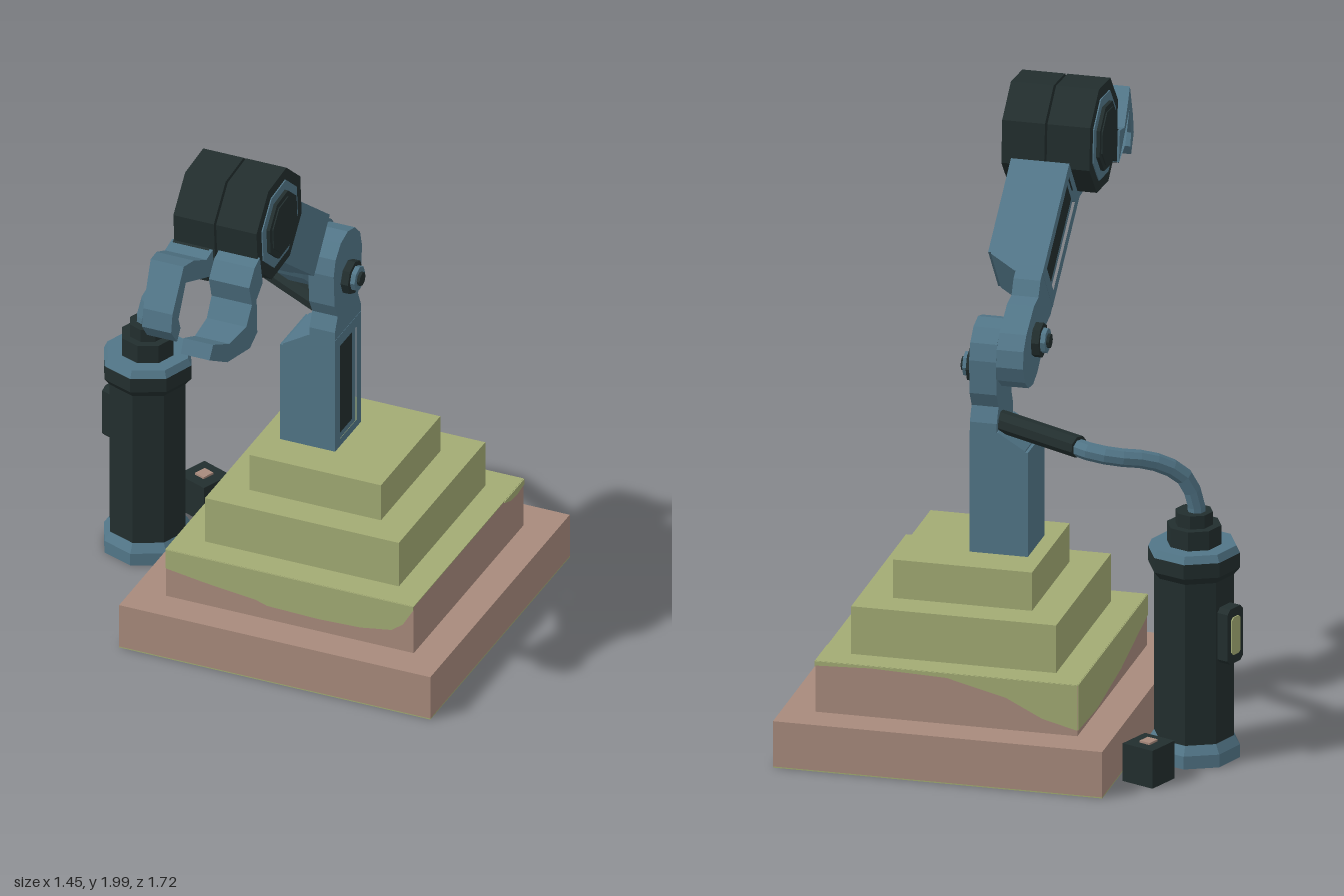
import * as THREE from 'three';

const paint = (name, color) => {
  const m = new THREE.MeshStandardMaterial({ color });
  m.name = name;
  return m;
};

export function createModel() {
  const model = new THREE.Group();
  model.name = 'robotArmOnSteppedBase';
  const steel = paint('steelBlue', 0x527688);
  const dark = paint('darkMetal', 0x222e2e);
  const clay = paint('clay', 0xa88a7c);
  const moss = paint('moss', 0xa2ab74);

  // Faceted mesh added to a parent
  function add(parent, name, geo, mat) {
    const g = geo.index ? geo.toNonIndexed() : geo;
    g.computeVertexNormals();
    const mesh = new THREE.Mesh(g, mat);
    mesh.name = name;
    parent.add(mesh);
    return mesh;
  }
  const box = (x0, x1, y0, y1, z0, z1) =>
    new THREE.BoxGeometry(x1 - x0, y1 - y0, z1 - z0).translate((x0 + x1) / 2, (y0 + y1) / 2, (z0 + z1) / 2);
  const vecs = (pts, s = 1) => pts.map(([a, b]) => new THREE.Vector2(s * a, b));
  // Side profile of [z, y] points, extruded from x0 to x1
  function extrudeX(pts, x0, x1, hole) {
    const shape = new THREE.Shape(vecs(pts, -1));
    if (hole) shape.holes.push(new THREE.Path(vecs(hole, -1)));
    return new THREE.ExtrudeGeometry(shape, { depth: x1 - x0, bevelEnabled: false })
      .rotateY(Math.PI / 2).translate(x0, 0, 0);
  }
  const rect = (w, y0, y1) => [[-w, y0], [w, y0], [w, y1], [-w, y1]];
  // Eight-sided disc with its axis along x
  const discX = (r, x0, x1, y, z, turn = 0) =>
    new THREE.CylinderGeometry(r, r, Math.abs(x1 - x0), 8, 1, false, turn)
      .rotateZ(-Math.PI / 2).translate((x0 + x1) / 2, y, z);

  // Stepped base
  const base = new THREE.Group();
  base.name = 'steppedBase';
  model.add(base);
  add(base, 'underside', box(-0.38, 0.72, 0, 0.004, -0.86, 0.245), moss);
  add(base, 'bottomStep', box(-0.38, 0.72, 0.004, 0.16, -0.86, 0.245), clay);
  add(base, 'secondStep', box(-0.265, 0.61, 0.16, 0.333, -0.74, 0.13), clay);
  add(base, 'secondStepTop', box(-0.265, 0.61, 0.333, 0.336, -0.74, 0.13), moss);
  add(base, 'thirdStep', box(-0.17, 0.515, 0.336, 0.5, -0.65, 0.035), moss);
  add(base, 'topStep', box(-0.06, 0.405, 0.5, 0.632, -0.54, -0.07), moss);

  // Wavy moss growing down the second step; edge points run left to right on each side
  function mossSide(name, edge, angle, x, z) {
    const first = edge[0][0], last = edge[edge.length - 1][0];
    const shape = new THREE.Shape(vecs([...edge, [last, 0.335], [first, 0.335]]));
    const mesh = add(base, name, new THREE.ExtrudeGeometry(shape, { depth: 0.003, bevelEnabled: false }), moss);
    mesh.rotation.y = angle;
    mesh.position.set(x, 0, z);
  }
  mossSide('frontMoss', [[-0.437, 0.265], [-0.3, 0.245], [-0.12, 0.225], [-0.08, 0.212], [0.1, 0.207],
    [0.25, 0.212], [0.36, 0.23], [0.4, 0.26], [0.437, 0.322]], 0, 0.1725, 0.13);
  mossSide('leftMoss', [[0.28, 0.33], [0.33, 0.312], [0.38, 0.308], [0.435, 0.316]], Math.PI / 2, 0.61, -0.305);
  mossSide('backMoss', [[-0.437, 0.32], [-0.25, 0.328], [0, 0.32], [0.2, 0.27], [0.32, 0.21], [0.437, 0.18]],
    Math.PI, 0.1725, -0.74);
  mossSide('rightMoss', [[-0.435, 0.18], [-0.2, 0.17], [0.1, 0.2], [0.3, 0.24], [0.435, 0.265]],
    -Math.PI / 2, -0.265, -0.305);

  // Arm link: offset body, recessed side panels, tongue with rounded head, and bolt
  function link(name) {
    const g = new THREE.Group();
    g.name = name;
    const body = new THREE.Shape(vecs([[0, 0], [0.165, 0], [0.165, 0.42], [0.09, 0.42], [0, 0.365]]));
    add(g, 'body', new THREE.ExtrudeGeometry(body, { depth: 0.205, bevelEnabled: false })
      .translate(0, 0, -0.1025), steel);
    add(g, 'deepFrame', extrudeX(rect(0.1025, 0, 0.42), 0.165, 0.185, rect(0.066, 0.03, 0.38)), steel);
    add(g, 'darkPanel', extrudeX(rect(0.066, 0.03, 0.38), 0.164, 0.17), dark);
    add(g, 'shallowFrame', extrudeX(rect(0.1025, 0, 0.36), -0.01, 0, rect(0.07, 0.03, 0.33)), steel);
    const half = [[0.1025, 0.42], [0.1025, 0.45], [0.08, 0.5], [0.105, 0.55]];
    const arc = [];
    for (let i = 0; i <= 6; i++) {
      const a = i * Math.PI / 6;
      arc.push([0.112 * Math.cos(a), 0.665 + 0.112 * Math.sin(a)]);
    }
    const profile = [...half, ...arc, ...half.map(([z, y]) => [-z, y]).reverse()];
    add(g, 'tongue', extrudeX(profile, 0.094, 0.184), steel);
    add(g, 'boltCollar', discX(0.058, 0.18, 0.21, 0.61, 0), dark);
    add(g, 'boltHead', discX(0.042, 0.2, 0.226, 0.61, 0), steel);
    add(g, 'boltTip', discX(0.024, 0.22, 0.236, 0.61, 0), dark);
    model.add(g);
    return g;
  }
  const post = link('post');
  post.position.set(0, 0.63, -0.303);
  // Upper arm is the same link turned over and hung from the post's head
  const upperArm = link('upperArm');
  const down = new THREE.Vector3(0, -0.61, -0.79).normalize();
  const flip = new THREE.Vector3(-1, 0, 0);
  upperArm.quaternion.setFromRotationMatrix(
    new THREE.Matrix4().makeBasis(flip, down, flip.clone().cross(down)));
  upperArm.position.set(0.185, 1.705, 0.212);

  // Wrist drum in two halves with ringed end caps
  const wrist = new THREE.Group();
  wrist.name = 'wristDrum';
  model.add(wrist);
  const cy = 1.815, cz = 0.355, turn = 0.47;
  for (const s of [-1, 1]) {
    const at = (r, a, b) => discX(r, 0.0875 + s * a, 0.0875 + s * b, cy, cz, turn);
    add(wrist, 'drumHalf', at(0.188, 0.004, 0.147), dark);
    add(wrist, 'drumRing', at(0.148, 0.145, 0.151), steel);
    add(wrist, 'drumCap', at(0.115, 0.147, 0.163), dark);
    add(wrist, 'drumHub', at(0.095, 0.16, 0.167), dark);
  }

  // Gripper: upper finger on the right, lower finger on the left, narrowing to the tips
  const upper = [[0.508, 1.667], [0.519, 1.773], [0.577, 1.762], [0.677, 1.815], [0.757, 1.836], [0.847, 1.704],
    [0.857, 1.64], [0.81, 1.582], [0.783, 1.619], [0.799, 1.661], [0.741, 1.767], [0.587, 1.7]];
  const lower = [[0.519, 1.778], [0.497, 1.672], [0.545, 1.635], [0.54, 1.508], [0.598, 1.481], [0.725, 1.492],
    [0.825, 1.55], [0.804, 1.598], [0.714, 1.556], [0.619, 1.571], [0.582, 1.635], [0.603, 1.709], [0.561, 1.762]];
  const root = [[0.45, 1.7], [0.535, 1.655], [0.57, 1.75], [0.48, 1.8]];
  function finger(name, pts, inner, outer) {
    const geo = extrudeX(pts, Math.min(inner, outer), Math.max(inner, outer));
    const p = geo.attributes.position;
    for (let i = 0; i < p.count; i++) {
      const t = THREE.MathUtils.clamp((p.getZ(i) - 0.6) / 0.23, 0, 1);
      p.setX(i, inner + (p.getX(i) - inner) * (1 - 0.3 * t));
    }
    add(model, name, geo, steel);
    const a = inner + (outer - inner) * 0.08, b = outer - (outer - inner) * 0.05;
    add(model, 'fingerRoot', extrudeX(root, Math.min(a, b), Math.max(a, b)), dark);
  }
  finger('upperFinger', upper, 0.077, -0.07);
  finger('lowerFinger', lower, 0.097, 0.24);

  // Tank beside the base
  const tank = new THREE.Group();
  tank.name = 'tank';
  tank.position.set(-0.56, 0, -0.385);
  tank.rotation.y = 0.04;
  model.add(tank);
  const turned = (name, pts, mat) => add(tank, name, new THREE.LatheGeometry(vecs(pts), 8), mat);
  turned('foot', [[0, 0.001], [0.152, 0.001], [0.152, 0.045], [0.132, 0.075], [0, 0.075]], steel);
  turned('footPlate', [[0, 0], [0.135, 0], [0.135, 0.004]], dark);
  turned('barrel', [[0.132, 0.07], [0.132, 0.64]], dark);
  turned('lidRim', [[0.132, 0.63], [0.152, 0.655], [0.152, 0.705]], dark);
  turned('lid', [[0.152, 0.705], [0.14, 0.73], [0, 0.73]], steel);
  turned('neck', [[0.09, 0.725], [0.09, 0.795], [0.062, 0.795], [0.062, 0.84], [0, 0.84]], dark);
  const gauge = new THREE.Group();
  gauge.name = 'gauge';
  gauge.rotation.y = -Math.PI / 8;
  tank.add(gauge);
  const plate = (w, y0, y1, c) => [[-w, y0 + c], [-w + c, y0], [w - c, y0], [w, y0 + c],
    [w, y1 - c], [w - c, y1], [-w + c, y1], [-w, y1 - c]];
  add(gauge, 'gaugeCase', extrudeX(plate(0.043, 0.35, 0.54, 0.015), -0.163, -0.11), dark);
  add(gauge, 'gaugeWindow', extrudeX(plate(0.024, 0.38, 0.51, 0.01), -0.167, -0.162), moss);

  // Hose from the tank to the post, with a dark sleeve
  const tube = (pts, n, r) => new THREE.TubeGeometry(
    new THREE.CatmullRomCurve3(pts.map(p => new THREE.Vector3(...p))), n, r, 8, false);
  add(model, 'hose', tube([[-0.57, 0.8, -0.385], [-0.565, 0.88, -0.39], [-0.53, 0.965, -0.41],
    [-0.44, 1.025, -0.46], [-0.33, 1.048, -0.515], [-0.25, 1.06, -0.522], [-0.19, 1.068, -0.505]], 10, 0.03), steel);
  const from = new THREE.Vector3(-0.21, 1.07, -0.512), to = new THREE.Vector3(0.1, 1.07, -0.345);
  const sleeve = add(model, 'hoseSleeve', new THREE.CylinderGeometry(0.037, 0.037, from.distanceTo(to), 8), dark);
  sleeve.position.copy(from).lerp(to, 0.5);
  sleeve.quaternion.setFromUnitVectors(new THREE.Vector3(0, 1, 0), to.clone().sub(from).normalize());

  // Small box on the ground behind the tank
  const crate = new THREE.Group();
  crate.name = 'smallBox';
  crate.position.set(-0.48, 0, -0.653);
  crate.rotation.y = -0.38;
  model.add(crate);
  add(crate, 'boxBody', box(-0.06, 0.06, 0, 0.13, -0.06, 0.06), dark);
  add(crate, 'boxButton', box(-0.02, 0.02, 0.13, 0.137, -0.022, 0.022), clay);

  return model;
}
